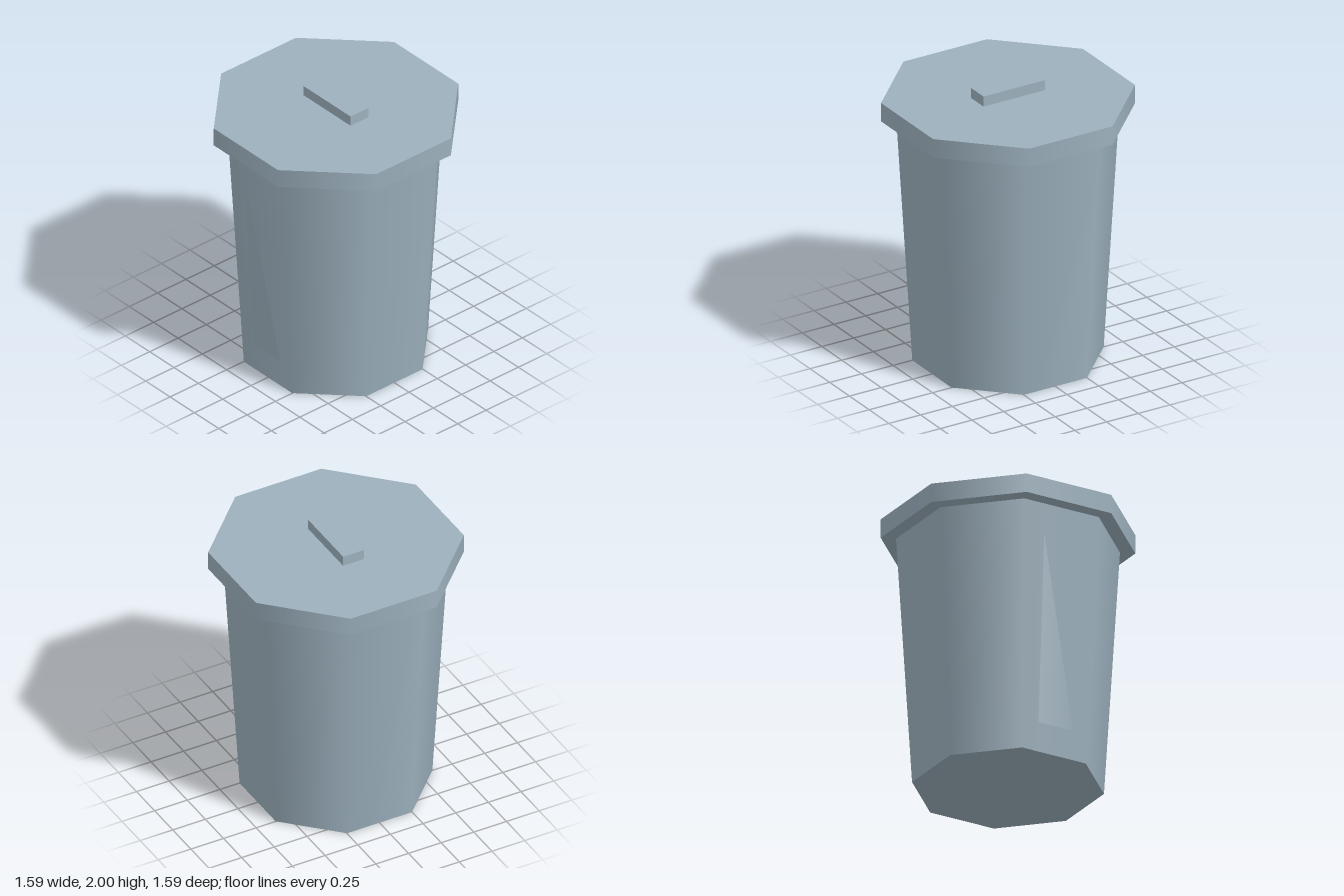
import * as THREE from 'three';

const BODY_H = 1.79, BOTTOM = 0.6, TOP = 0.7; // flat-to-centre distances
const T = Math.PI / 8;

// Eight-sided drum with smooth sides and flats facing the axes
function octagon(name, top, bottom, y0, y1, material) {
  const c = Math.cos(T);
  const geo = new THREE.CylinderGeometry(top / c, bottom / c, y1 - y0, 8, 1, false, T);
  geo.translate(0, (y0 + y1) / 2, 0);
  const mesh = new THREE.Mesh(geo, material);
  mesh.name = name;
  return mesh;
}

// Flush triangular panel following the slope and shading of the front flat
function frontPanel(material) {
  const pos = [], nor = [];
  for (const [x, y] of [[-0.13, 1.575], [-0.13, 0.21], [0.14, 0.21]]) {
    const z = BOTTOM + (TOP - BOTTOM) * y / BODY_H;
    pos.push(x, y, z + 0.003);
    const n = new THREE.Vector3(x / z, -(TOP - BOTTOM) / BODY_H, 1).normalize();
    nor.push(n.x, n.y, n.z);
  }
  const geo = new THREE.BufferGeometry();
  geo.setAttribute('position', new THREE.Float32BufferAttribute(pos, 3));
  geo.setAttribute('normal', new THREE.Float32BufferAttribute(nor, 3));
  const mesh = new THREE.Mesh(geo, material);
  mesh.name = 'frontPanel';
  return mesh;
}

export function createModel() {
  const metal = new THREE.MeshStandardMaterial({ color: 0x9cb0bd });
  metal.name = 'blueGreyMetal';

  const bin = new THREE.Group();
  bin.name = 'bin';
  bin.add(octagon('body', TOP, BOTTOM, 0, BODY_H, metal));
  bin.add(octagon('lid', 0.796, 0.796, BODY_H, 1.926, metal));
  bin.add(frontPanel(metal));

  // Lid handle
  const handle = new THREE.Mesh(new THREE.BoxGeometry(0.485, 0.08, 0.16), metal);
  handle.name = 'lidHandle';
  handle.position.y = 1.96;
  bin.add(handle);
  return bin;
}
